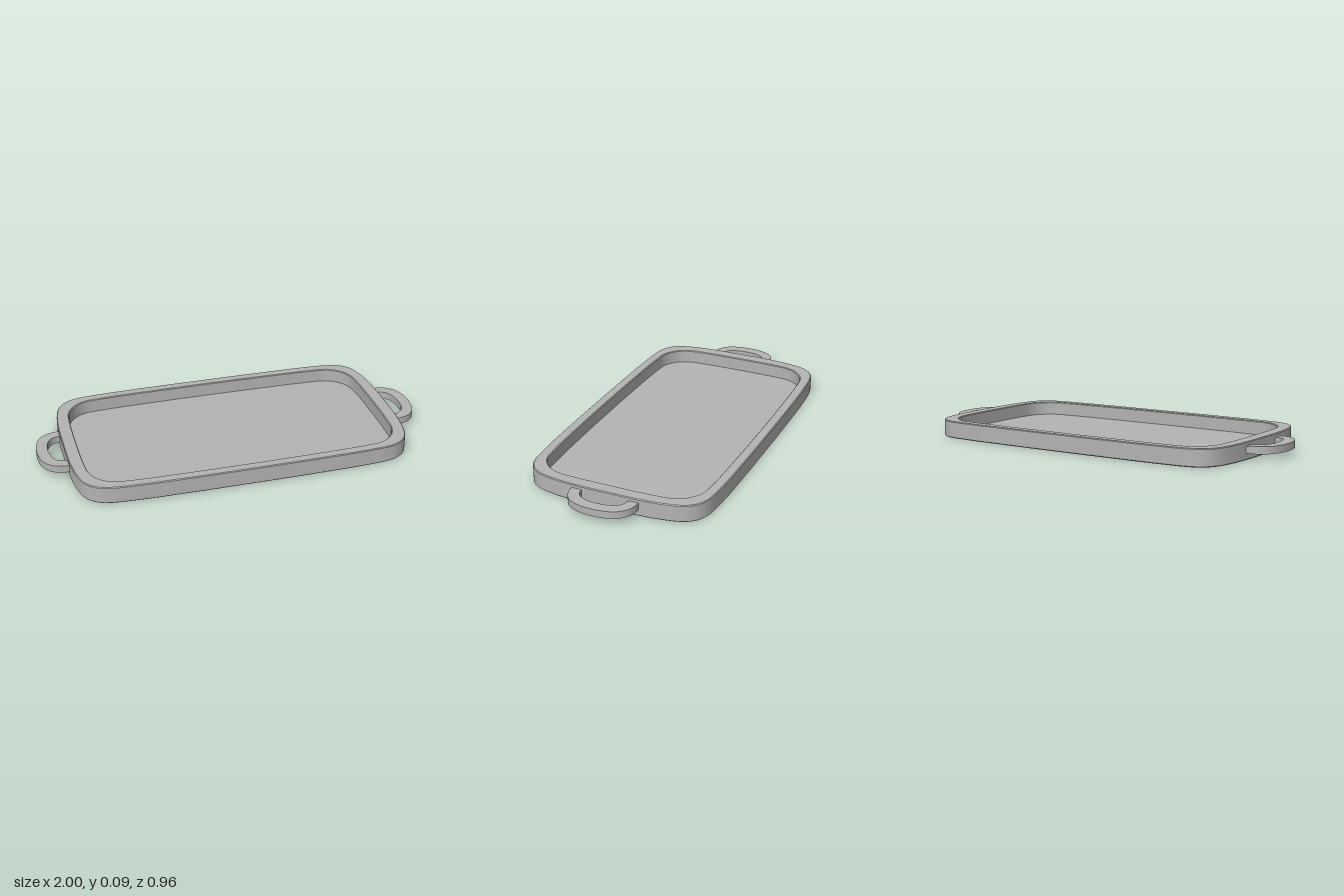
import * as THREE from 'three';
import { toCreasedNormals } from 'three/addons/utils/BufferGeometryUtils.js';

const V = (x, y) => new THREE.Vector2(x, y);

// Mirror a quarter outline (from +x axis to +y axis) into a full smooth loop
function roundedLoop(quarter, scale = 1) {
  const q = quarter.map(([x, y]) => V(x * scale, y * scale));
  const half = [...q, ...q.slice(0, -1).reverse().map((p) => V(-p.x, p.y))];
  const full = [...half, ...half.slice(1, -1).reverse().map((p) => V(p.x, -p.y))];
  const curve = new THREE.CatmullRomCurve3(
    full.map((p) => new THREE.Vector3(p.x, p.y, 0)), true, 'centripetal');
  return curve.getPoints(128).slice(0, -1).map((p) => V(p.x, p.y));
}

// Horizontal slab: shape (x, z) between heights y0 and y1, with a fine chamfer
function slab(shape, y0, y1, chamfer = 0) {
  const geo = new THREE.ExtrudeGeometry(shape, {
    depth: y1 - y0 - 2 * chamfer,
    bevelEnabled: chamfer > 0,
    bevelSize: chamfer,
    bevelThickness: chamfer,
    bevelOffset: -chamfer,
    bevelSegments: 1,
    curveSegments: 16,
  });
  geo.rotateX(Math.PI / 2);
  geo.translate(0, y1 - chamfer, 0);
  return toCreasedNormals(geo, 0.5);
}

export function createModel() {
  const group = new THREE.Group();
  group.name = 'servingTray';
  const grey = new THREE.MeshStandardMaterial({ color: 0xb4b4b4 });
  grey.name = 'grey';

  const add = (name, geo) => {
    const mesh = new THREE.Mesh(geo, grey);
    mesh.name = name;
    group.add(mesh);
    return mesh;
  };

  const outer = [[0.865, 0], [0.863, 0.18], [0.85, 0.3], [0.83, 0.375], [0.8, 0.42],
    [0.74, 0.456], [0.6, 0.472], [0.3, 0.479], [0, 0.48]];
  const inner = [[0.798, 0], [0.795, 0.2], [0.785, 0.3], [0.755, 0.36],
    [0.69, 0.407], [0.6, 0.419], [0.3, 0.427], [0, 0.429]];

  // Raised rim
  const rim = new THREE.Shape(roundedLoop(outer));
  rim.holes.push(new THREE.Path(roundedLoop(inner)));
  add('rim', slab(rim, 0.003, 0.091, 0.004));

  // Flat floor, tucked slightly into the rim
  add('floor', slab(new THREE.Shape(roundedLoop(inner, 1.01)), 0.003, 0.02));

  // Flat loop handles, one at each end
  const handle = new THREE.Shape();
  handle.moveTo(0.85, -0.173);
  handle.lineTo(0.875, -0.173);
  handle.bezierCurveTo(0.965, -0.168, 1, -0.1, 1, 0);
  handle.bezierCurveTo(1, 0.1, 0.965, 0.168, 0.875, 0.173);
  handle.lineTo(0.85, 0.173);
  handle.lineTo(0.85, 0.122);
  handle.lineTo(0.87, 0.122);
  handle.bezierCurveTo(0.925, 0.117, 0.943, 0.07, 0.943, 0);
  handle.bezierCurveTo(0.943, -0.07, 0.925, -0.117, 0.87, -0.122);
  handle.lineTo(0.85, -0.122);
  handle.closePath();
  const handleGeo = slab(handle, 0.036, 0.073);
  for (const [name, turn] of [['leftHandle', 0], ['rightHandle', Math.PI]]) {
    const mesh = add(name, handleGeo);
    mesh.rotation.y = turn;
    mesh.position.z = 0.008;
  }

  // The tray sits with a barely perceptible tilt
  group.rotation.x = -0.004;
  return group;
}
